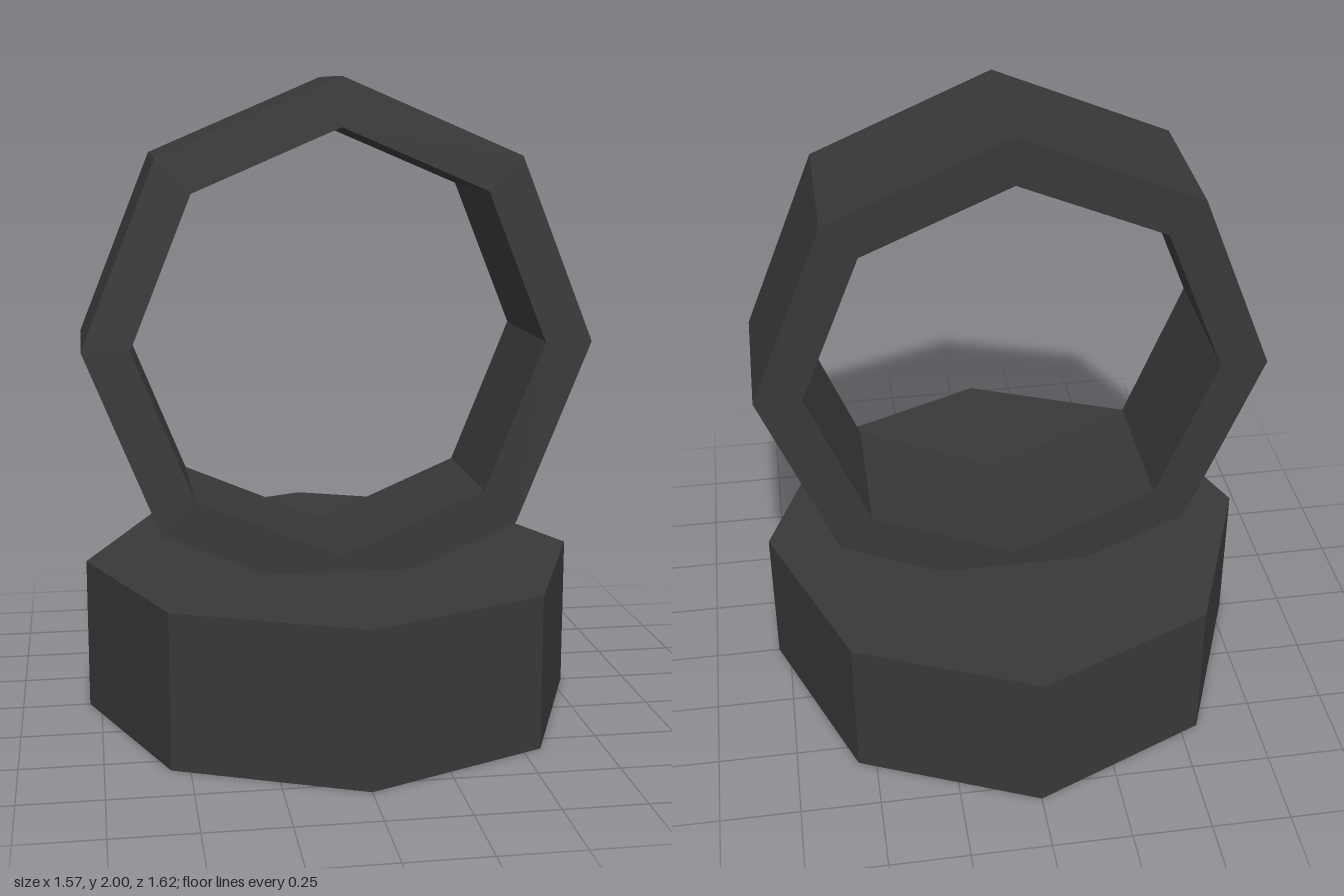
import * as THREE from 'three';

const SIDES = 8;
const RX = 0.787, RY = 0.81; // outer half-sizes shared by base and ring
const DEPTH = 0.475;

// corners of an octagon with points on the axes
function octagon(rx, ry) {
  return Array.from({ length: SIDES }, (_, i) => {
    const a = (i / SIDES) * Math.PI * 2;
    return new THREE.Vector2(Math.cos(a) * rx, Math.sin(a) * ry);
  });
}

export function createModel() {
  const group = new THREE.Group();
  const charcoal = new THREE.MeshStandardMaterial({ color: 0x383838, flatShading: true });
  charcoal.name = 'charcoal';

  // solid octagonal base
  const baseGeometry = new THREE.CylinderGeometry(1, 1, 0.48, SIDES);
  baseGeometry.scale(RX, 1, RY);
  const base = new THREE.Mesh(baseGeometry, charcoal);
  base.name = 'base';
  base.position.y = 0.24;

  // upright octagonal ring, its lowest corner sunk into the base
  const outline = new THREE.Shape(octagon(RX, RY));
  outline.holes.push(new THREE.Path(octagon(0.64, 0.66)));
  const ringGeometry = new THREE.ExtrudeGeometry(outline, { depth: DEPTH, bevelEnabled: false });
  ringGeometry.translate(0, 0, -DEPTH / 2);
  const ring = new THREE.Mesh(ringGeometry, charcoal);
  ring.name = 'ring';
  ring.position.y = 1.19;

  group.add(base, ring);
  return group;
}
